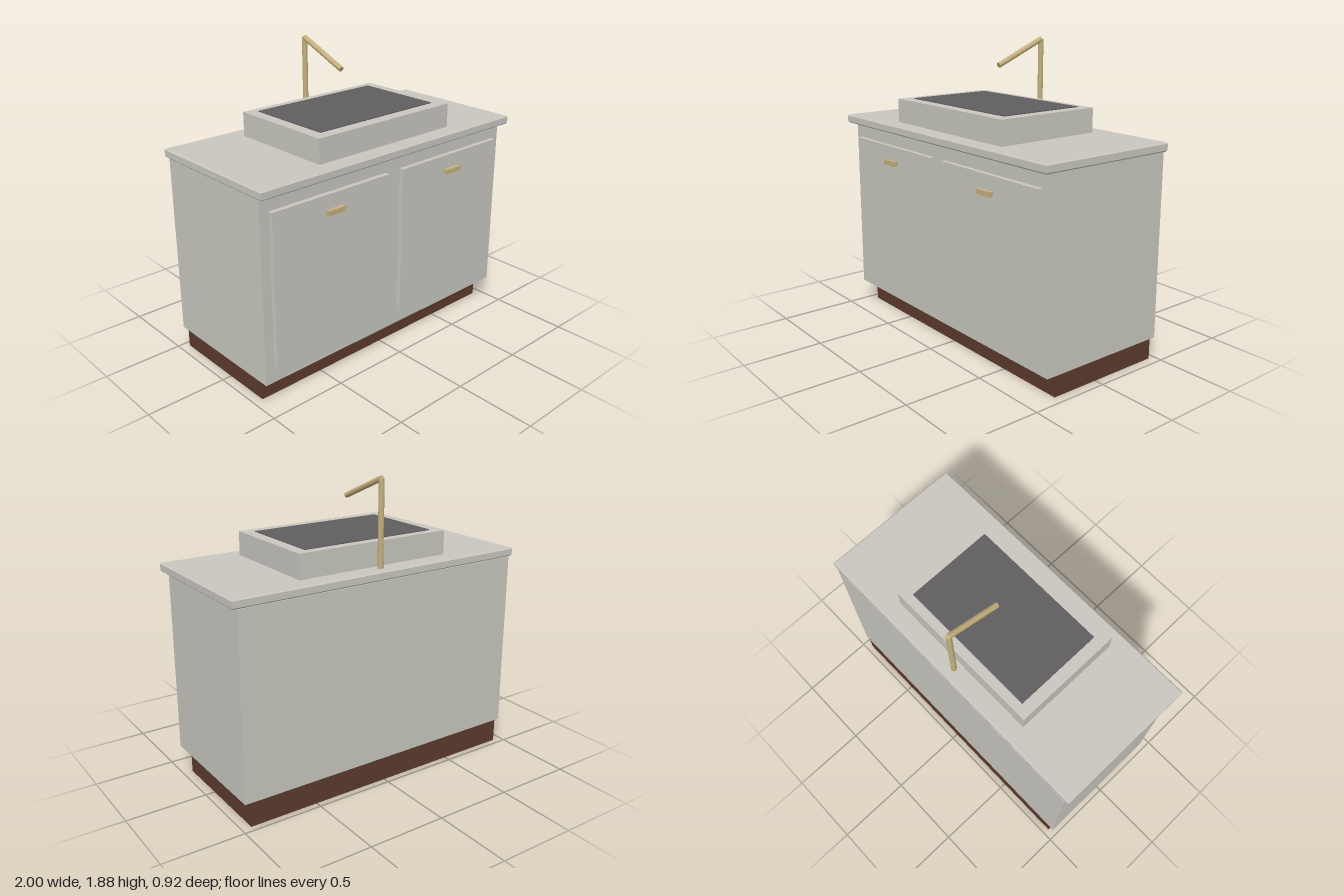
import * as THREE from 'three';

const paint = (name, color) => {
  const m = new THREE.MeshStandardMaterial({ color });
  m.name = name;
  return m;
};

export function createModel() {
  const stone = paint('warmGrey', 0xc8c6be);
  const wood = paint('darkWood', 0x5c3a2c);
  const dark = paint('basinDark', 0x605e5e);
  const brass = paint('brass', 0xc4b07d);
  const group = new THREE.Group();
  group.name = 'washstand';

  const add = (name, geometry, material) => {
    const mesh = new THREE.Mesh(geometry, material);
    mesh.name = name;
    group.add(mesh);
    return mesh;
  };
  // Box given by its limits on each axis
  const box = (name, [x0, x1], [y0, y1], [z0, z1], material) =>
    add(name, new THREE.BoxGeometry(x1 - x0, y1 - y0, z1 - z0), material)
      .position.set((x0 + x1) / 2, (y0 + y1) / 2, (z0 + z1) / 2);
  // Faceted rod between two points
  const rod = (name, from, to, radius) => {
    const dir = to.clone().sub(from);
    const geometry = new THREE.CylinderGeometry(radius, radius, dir.length(), 12).toNonIndexed();
    geometry.computeVertexNormals();
    const mesh = add(name, geometry, brass);
    mesh.position.copy(from).add(to).multiplyScalar(0.5);
    mesh.quaternion.setFromUnitVectors(new THREE.Vector3(0, 1, 0), dir.normalize());
  };

  // Recessed plinth and cabinet body
  box('plinth', [-0.94, 0.94], [0, 0.15], [-0.46, 0.315], wood);
  box('cabinet', [-0.973, 0.973], [0.15, 1.29], [-0.46, 0.403], stone);

  // Countertop with a narrow bevel on every edge
  const b = 0.008, w = 1 - b, d = 0.46 - b;
  const slab = new THREE.Shape([[-w, -d], [w, -d], [w, d], [-w, d]].map(p => new THREE.Vector2(...p)));
  const top = new THREE.ExtrudeGeometry(slab, {
    depth: 0.055 - 2 * b, bevelThickness: b, bevelSize: b, bevelSegments: 1,
  });
  top.rotateX(-Math.PI / 2).translate(0, 1.29 + b, 0);
  add('countertop', top, stone);

  // Doors and handles, one pair on each side
  for (const [side, s] of [['left', 1], ['right', -1]]) {
    const span = (a, c) => (s > 0 ? [a, c] : [-c, -a]);
    box(side + 'Door', span(0.058, 0.912), [0.243, 1.197], [0.403, 0.433], stone);
    box(side + 'Handle', span(0.425, 0.545), [1.08, 1.11], [0.433, 0.462], brass);
  }

  // Raised basin with a thin dark inset
  box('basin', [-0.522, 0.522], [1.345, 1.495], [-0.342, 0.355], stone);
  box('basinInset', [-0.45, 0.45], [1.495, 1.5], [-0.285, 0.28], dark);

  // Tap: upright post and sloping spout
  const bend = new THREE.Vector3(0, 1.866, -0.388);
  rod('tapPost', new THREE.Vector3(0, 1.345, -0.388), bend, 0.017);
  rod('tapSpout', bend, new THREE.Vector3(0, 1.722, -0.046), 0.017);

  return group;
}
